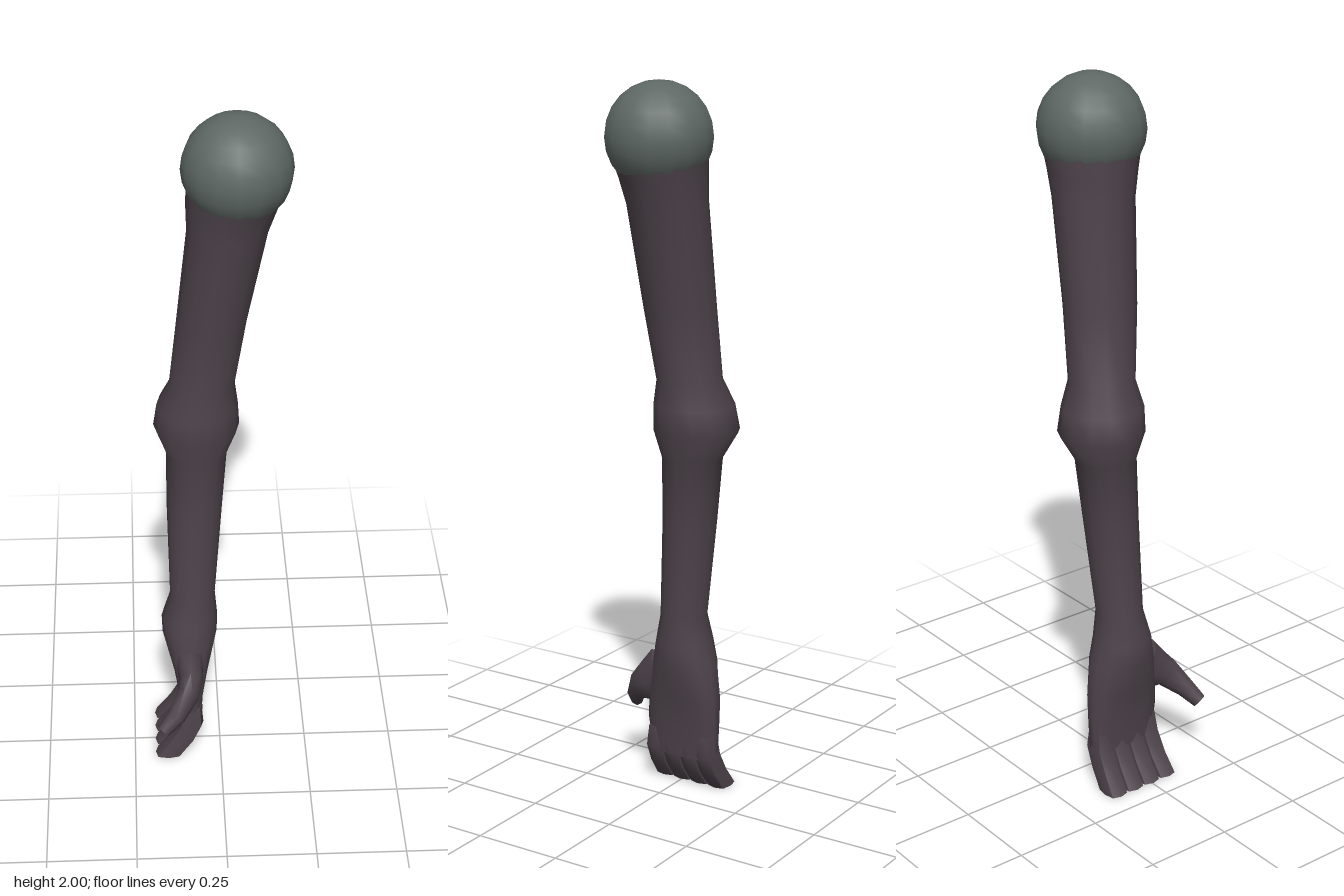
import * as THREE from 'three';
import { toCreasedNormals } from 'three/addons/utils/BufferGeometryUtils.js';

const skin = new THREE.MeshStandardMaterial({ color: 0x4d434a });
const cap = new THREE.MeshStandardMaterial({ color: 0x5e6864 });

// Skins a list of equal-length point rings and closes both ends.
function loft(rings, crease = 1) {
  const n = rings[0].length;
  const centre = ring => {
    const c = ring.reduce((s, p) => s.add(p), new THREE.Vector3()).divideScalar(n);
    return ring.map(() => c);
  };
  const all = [centre(rings[0]), ...rings, centre(rings[rings.length - 1])];
  const index = [];
  for (let i = 0; i < all.length - 1; i++) {
    for (let j = 0; j < n; j++) {
      const a = i * n + j, b = i * n + (j + 1) % n;
      if (i > 0) index.push(a, b, a + n);
      if (i < all.length - 2) index.push(b, b + n, a + n);
      if (i === 0) index.push(b, b + n, a + n);
    }
  }
  const geometry = new THREE.BufferGeometry().setFromPoints(all.flat());
  geometry.setIndex(index);
  return toCreasedNormals(geometry, crease);
}

// Horizontal rounded ring from its extents; power below 1 makes it squarer.
function levelRing([y, x0, x1, z0, z1], sides, power = 1) {
  const bend = v => Math.sign(v) * Math.pow(Math.abs(v), power);
  return Array.from({ length: sides }, (_, i) => {
    const a = (i / sides) * Math.PI * 2;
    return new THREE.Vector3(
      (x0 + x1) / 2 + bend(Math.cos(a)) * (x1 - x0) / 2, y,
      (z0 + z1) / 2 + bend(Math.sin(a)) * (z1 - z0) / 2);
  });
}

export function createModel() {
  const group = new THREE.Group();
  const add = (name, geometry, material = skin) => {
    const mesh = new THREE.Mesh(geometry, material);
    mesh.name = name;
    group.add(mesh);
    return mesh;
  };

  // Ball of the shoulder
  add('shoulderBall', new THREE.SphereGeometry(0.144, 16, 12), cap).position.set(0.045, 1.856, -0.028);

  // Arm from shoulder to knuckles: y, x range, z range
  const arm = [
    [1.81, -0.085, 0.172, -0.158, 0.1],
    [1.75, -0.086, 0.152, -0.152, 0.083],
    [1.68, -0.084, 0.128, -0.15, 0.07],
    [1.4, -0.113, 0.073, -0.153, 0.048],
    [1.2, -0.134, 0.043, -0.157, 0.023],
    [1.13, -0.168, 0.052, -0.185, 0.037],
    [1.06, -0.178, 0.056, -0.198, 0.037],
    [0.98, -0.145, 0.022, -0.15, 0.016],
    [0.8, -0.145, 0.008, -0.13, 0.02],
    [0.52, -0.14, -0.013, -0.098, 0.035],
    [0.44, -0.165, -0.006, -0.11, 0.053],
    [0.38, -0.163, -0.008, -0.127, 0.066],
    [0.28, -0.135, -0.033, -0.139, 0.08],
    [0.19, -0.12, -0.048, -0.139, 0.085],
    [0.1, -0.117, -0.053, -0.134, 0.072],
  ];
  add('armAndPalm', loft(arm.map((r, i) => levelRing(r, 14, i > 11 ? 0.75 : 1))));

  // Four fingers side by side, curling towards the palm
  for (let i = 0; i < 4; i++) {
    const finger = [[0.17, -0.11, -0.055], [0.11, -0.12, -0.05], [0.055, -0.15, -0.074], [0, -0.19, -0.115]];
    const geometry = loft(finger.map(([y, x0, x1], k) => {
      const width = [0.051, 0.054, 0.055, 0.0575][k];
      const z0 = -0.025 + (i - 2) * width;
      return levelRing([y, x0, x1, z0 - 0.002, z0 + width + 0.002], 8, 0.6);
    }), 0.9);
    add('finger' + (i + 1), geometry);
  }

  // Thumb: centre, half height and half width along a bent path
  const path = [
    [-0.088, 0.33, 0.035, 0.075, 0.04],
    [-0.085, 0.29, 0.085, 0.062, 0.034],
    [-0.093, 0.272, 0.125, 0.043, 0.03],
    [-0.13, 0.225, 0.165, 0.03, 0.026],
    [-0.168, 0.19, 0.187, 0.022, 0.019],
  ];
  const points = path.map(p => new THREE.Vector3(p[0], p[1], p[2]));
  const thumb = path.map(([, , , high, wide], i) => {
    const t = points[Math.min(i + 1, 4)].clone().sub(points[Math.max(i - 1, 0)]).normalize();
    const u = new THREE.Vector3(0, 1, 0).cross(t).normalize();
    const v = t.clone().cross(u);
    return Array.from({ length: 8 }, (_, j) => {
      const a = (j / 8) * Math.PI * 2;
      return points[i].clone().addScaledVector(u, Math.cos(a) * wide).addScaledVector(v, Math.sin(a) * high);
    });
  });
  add('thumb', loft(thumb));

  return group;
}
